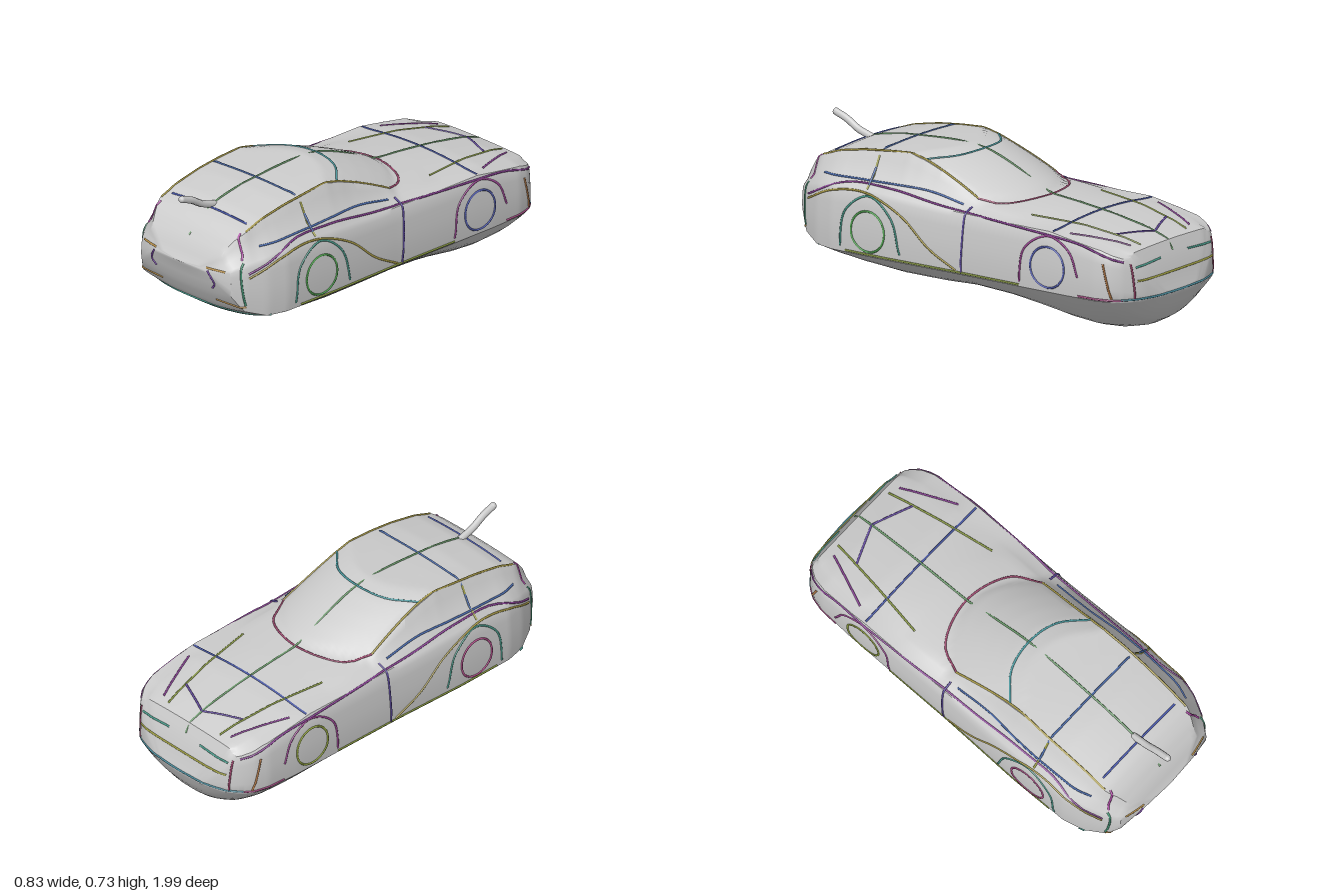
import * as THREE from 'three';
import { toCreasedNormals } from 'three/addons/utils/BufferGeometryUtils.js';

// Piecewise linear lookup in [z, value] pairs
function lookup(table, z) {
  if (z <= table[0][0]) return table[0][1];
  for (let i = 1; i < table.length; i++) {
    const [z0, v0] = table[i - 1], [z1, v1] = table[i];
    if (z <= z1) return v0 + (v1 - v0) * (z - z0) / (z1 - z0);
  }
  return table[table.length - 1][1];
}
const clamp01 = v => Math.min(1, Math.max(0, v));

// Profiles along the car, nose at -z
const TOP = [[-0.98, 0.23], [-0.95, 0.34], [-0.91, 0.43], [-0.8, 0.465], [-0.6, 0.5], [-0.4, 0.522], [-0.24, 0.535],
  [-0.2, 0.56], [-0.1, 0.605], [0, 0.645], [0.1, 0.68], [0.2, 0.7], [0.4, 0.69], [0.6, 0.675], [0.75, 0.645],
  [0.85, 0.605], [0.9, 0.565], [0.95, 0.5], [0.985, 0.43]];
const BOTTOM = [[-0.98, 0.19], [-0.95, 0.13], [-0.9, 0.065], [-0.84, 0.03], [-0.75, 0.008], [-0.64, 0], [-0.5, 0.013], [-0.35, 0.042],
  [-0.2, 0.066], [0, 0.08], [0.2, 0.07], [0.4, 0.07], [0.6, 0.088], [0.75, 0.12], [0.85, 0.17], [0.9, 0.21], [0.95, 0.3], [0.985, 0.4]];
const SILL = [[-0.98, 0.205], [0.8, 0.205], [0.9, 0.24], [0.95, 0.32], [0.985, 0.41]];
const BELT = [[-0.98, 0.22], [-0.95, 0.32], [-0.91, 0.4], [-0.8, 0.44], [-0.52, 0.485], [-0.3, 0.485], [0.1, 0.49],
  [0.5, 0.51], [0.75, 0.5], [0.9, 0.46], [0.95, 0.44], [0.985, 0.42]];
const WIDTH = [[-0.98, 0.16], [-0.95, 0.27], [-0.9, 0.335], [-0.85, 0.37], [-0.78, 0.388], [-0.6, 0.395], [0, 0.395], [0.4, 0.405],
  [0.7, 0.4], [0.8, 0.375], [0.9, 0.325], [0.95, 0.285], [0.985, 0.16]];
const EDGE = [[-0.98, 0.12], [-0.95, 0.2], [-0.9, 0.27], [-0.8, 0.29], [-0.2, 0.3], [0.2, 0.28], [0.85, 0.275], [0.95, 0.22], [0.985, 0.12]];

// One half of a cross-section, from the keel to the centre of the roof
function halfSection(z) {
  const w = lookup(WIDTH, z), bot = lookup(BOTTOM, z), sill = lookup(SILL, z);
  const belt = lookup(BELT, z), e = lookup(EDGE, z), pts = [];
  for (let i = 0; i <= 10; i++) {
    const t = Math.sin(i / 10 * Math.PI / 2);
    pts.push([w * t, bot + (sill - bot) * Math.pow(t, 2.3)]);
  }
  for (const [f, k] of [[0.25, 1.015], [0.5, 1.01], [0.75, 1], [0.92, 0.985], [1, 0.96]])
    pts.push([w * k, sill + (belt - sill) * f]);
  // The windscreen wraps back towards the sides
  const wrap = 0.16 * clamp01((z + 0.6) / 0.25) * clamp01((0.6 - z) / 0.3);
  const roof = t => Math.max(belt, lookup(TOP, z - wrap * t * t) - 0.014 * t * t * clamp01((1 - Math.abs(z)) * 5));
  const edgeY = roof(1);
  pts.push([e + (w * 0.96 - e) * 0.5, belt + (edgeY - belt) * 0.33]);
  pts.push([e + (w * 0.96 - e) * 0.2, belt + (edgeY - belt) * 0.75]);
  for (let i = 8; i >= 0; i--) pts.push([e * i / 8, roof(i / 8)]);
  return pts;
}

function shellGeometry() {
  const pos = [], idx = [], stations = 110;
  let n = 0;
  for (let i = 0; i <= stations; i++) {
    const z = -0.98 + 1.965 * i / stations;
    const half = halfSection(z);
    const ring = half.concat(half.slice(1, -1).reverse().map(([x, y]) => [-x, y]));
    n = ring.length;
    for (const [x, y] of ring) pos.push(x, y, z);
  }
  for (let i = 0; i < stations; i++) for (let j = 0; j < n; j++) {
    const a = i * n + j, b = i * n + (j + 1) % n;
    idx.push(a, b, a + n, b, b + n, a + n);
  }
  // Nose and tail caps
  const c = pos.length / 3, last = stations * n;
  pos.push(0, 0.21, -0.99, 0, 0.418, 0.995);
  for (let j = 0; j < n; j++) {
    const k = (j + 1) % n;
    idx.push(c, k, j, c + 1, last + j, last + k);
  }
  const g = new THREE.BufferGeometry();
  g.setAttribute('position', new THREE.Float32BufferAttribute(pos, 3));
  g.setIndex(idx);
  return g;
}

export function createModel() {
  const car = new THREE.Group();
  car.name = 'car';
  const grey = new THREE.MeshStandardMaterial({ color: 0xcccccc });
  const base = shellGeometry();
  const body = new THREE.Mesh(toCreasedNormals(base, 0.6), grey);
  body.name = 'bodyShell';
  car.add(body);

  // Feature lines are laid on the shell by casting along one axis
  const solid = new THREE.Mesh(base, grey), caster = new THREE.Raycaster();
  const cast = (o, d) => {
    caster.set(new THREE.Vector3(...o), new THREE.Vector3(...d));
    const hit = caster.intersectObject(solid)[0];
    return hit && hit.point;
  };
  const onTop = (x, z) => cast([x, 2, z], [0, -1, 0]);
  const onSide = s => (z, y) => cast([2 * s, y, z], [-s, 0, 0]);
  const onEnd = s => (x, y) => cast([x, y, 2 * s], [0, 0, -s]);
  const line = (name, color, project, pts, closed = false) => {
    const flat = new THREE.CatmullRomCurve3(pts.map(([a, b]) => new THREE.Vector3(a, b, 0)), closed);
    const count = pts.length > 2 ? 28 : 14;
    const path = flat.getPoints(count).map(p => project(p.x, p.y)).filter(Boolean);
    if (closed) path.pop();
    if (path.length < 2) return;
    const tube = new THREE.TubeGeometry(new THREE.CatmullRomCurve3(path, closed), 36, 0.005, 6, closed);
    const mesh = new THREE.Mesh(tube, new THREE.MeshStandardMaterial({ color }));
    mesh.name = name;
    car.add(mesh);
  };
  const circle = (z, y, r) => Array.from({ length: 16 }, (_, i) => [z + r * Math.cos(i * Math.PI / 8), y + r * Math.sin(i * Math.PI / 8)]);

  // Side lines
  for (const s of [1, -1]) {
    const side = onSide(s);
    line('rearWheelRing', s > 0 ? 0x4fa04f : 0xb0508a, side, circle(0.49, 0.32, 0.095), true);
    line('frontWheelRing', s > 0 ? 0x5560b0 : 0x8fa040, side, circle(-0.52, 0.32, 0.095), true);
    line('rearArch', 0x4a9a8a, side, [[0.65, 0.23], [0.62, 0.4], [0.49, 0.485], [0.36, 0.4], [0.31, 0.24]]);
    line('frontArch', 0xa04a98, side, [[-0.36, 0.23], [-0.39, 0.39], [-0.52, 0.465], [-0.64, 0.41], [-0.69, 0.3]]);
    line('sillLine', 0x80903c, side, [[0.62, 0.213], [-0.36, 0.213]]);
    line('haunchLine', 0xa89a48, side, [[0.88, 0.4], [0.7, 0.48], [0.5, 0.495], [0.3, 0.42], [0.15, 0.3], [0.0, 0.22]]);
    line('doorLine', 0x5c4a9c, side, [[-0.03, 0.215], [-0.045, 0.51]]);
    line('beltLine', 0x8a4496, side, [[0.88, 0.42], [0.65, 0.52], [0.4, 0.53], [0.1, 0.5], [-0.3, 0.48], [-0.7, 0.45], [-0.9, 0.39]]);
    line('windowLine', 0x4868a8, side, [[0.8, 0.53], [0.5, 0.545], [0.2, 0.545], [0.0, 0.515]]);
    line('windowPillar', 0x9a9a40, side, [[0.51, 0.51], [0.51, 0.65]]);
    line('noseCorner', 0xb07848, side, [[-0.82, 0.38], [-0.86, 0.22]]);
    line('noseSill', 0xa04a80, side, [[-0.69, 0.213], [-0.9, 0.213]]);
    line('roofRail', 0xa89a48, onTop, [[0.272 * s, 0.84], [0.277 * s, 0.5], [0.272 * s, 0.26], [0.29 * s, -0.05]]);
    line('bonnetCrease', 0x8a9a48, onTop, [[0.26 * s, -0.33], [0.17 * s, -0.88]]);
    line('bonnetNose', 0x6a50a8, onTop, [[0, -0.83], [0.19 * s, -0.75]]);
    line('lampLine', 0x8a4496, onTop, [[0.22 * s, -0.86], [0.33 * s, -0.6]]);
  }

  // Top lines
  line('centreLine', 0x6a9a6a, onTop, [[0, -0.93], [0, 0.93]]);
  line('bonnetSeam', 0x4a5aa8, onTop, [[-0.37, -0.53], [0.37, -0.53]]);
  line('windscreenBase', 0xa04a70, onTop, [[-0.29, -0.05], [-0.22, -0.18], [0, -0.25], [0.22, -0.18], [0.29, -0.05]]);
  line('windscreenTop', 0x4a9aa0, onTop, [[-0.27, 0.26], [-0.15, 0.16], [0, 0.13], [0.15, 0.16], [0.27, 0.26]]);
  line('roofSeam', 0x4a6aa8, onTop, [[-0.37, 0.51], [0.37, 0.51]]);
  line('rearWindowTop', 0x4a5ab0, onTop, [[-0.24, 0.8], [0.24, 0.8]]);

  // Tail and nose lines
  const tail = onEnd(1), nose = onEnd(-1);
  for (const s of [1, -1]) {
    line('tailLampTop', 0xb89048, tail, [[0.26 * s, 0.43], [0.16 * s, 0.43]]);
    line('tailLampSide', 0x7a4aa8, tail, [[0.17 * s, 0.42], [0.2 * s, 0.36], [0.18 * s, 0.33]]);
    line('tailCorner', 0x4a9a7a, tail, [[0.31 * s, 0.47], [0.32 * s, 0.36], [0.33 * s, 0.27]]);
    line('rearBumper', 0xb08848, tail, [[0.33 * s, 0.26], [0.17 * s, 0.26]]);
    line('rearWindowSide', 0xb04aa8, tail, [[0.255 * s, 0.59], [0.3 * s, 0.48]]);
    line('noseLamp', 0x4a9a8a, nose, [[0.28 * s, 0.36], [0.1 * s, 0.37]]);
    line('noseSide', 0xa04a70, nose, [[0.3 * s, 0.38], [0.29 * s, 0.22]]);
  }
  line('grilleLine', 0x9a9a40, nose, [[-0.28, 0.3], [0.28, 0.3]]);
  line('noseLip', 0x4a8a9a, nose, [[-0.34, 0.215], [0.34, 0.215]]);
  line('tailLip', 0x4aa898, tail, [[-0.38, 0.207], [0.38, 0.207]]);

  // Slim aerial at the back of the roof
  const aerialPath = new THREE.CatmullRomCurve3([[0.76, 0.625], [0.85, 0.655], [0.91, 0.69], [0.975, 0.715]]
    .map(([z, y]) => new THREE.Vector3(0, y, z)));
  const aerial = new THREE.Mesh(new THREE.TubeGeometry(aerialPath, 16, 0.017, 7), grey);
  aerial.name = 'aerial';
  car.add(aerial);
  const tip = new THREE.Mesh(new THREE.SphereGeometry(0.017, 8, 6), grey);
  tip.name = 'aerialTip';
  tip.position.set(0, 0.715, 0.975);
  car.add(tip);
  return car;
}
